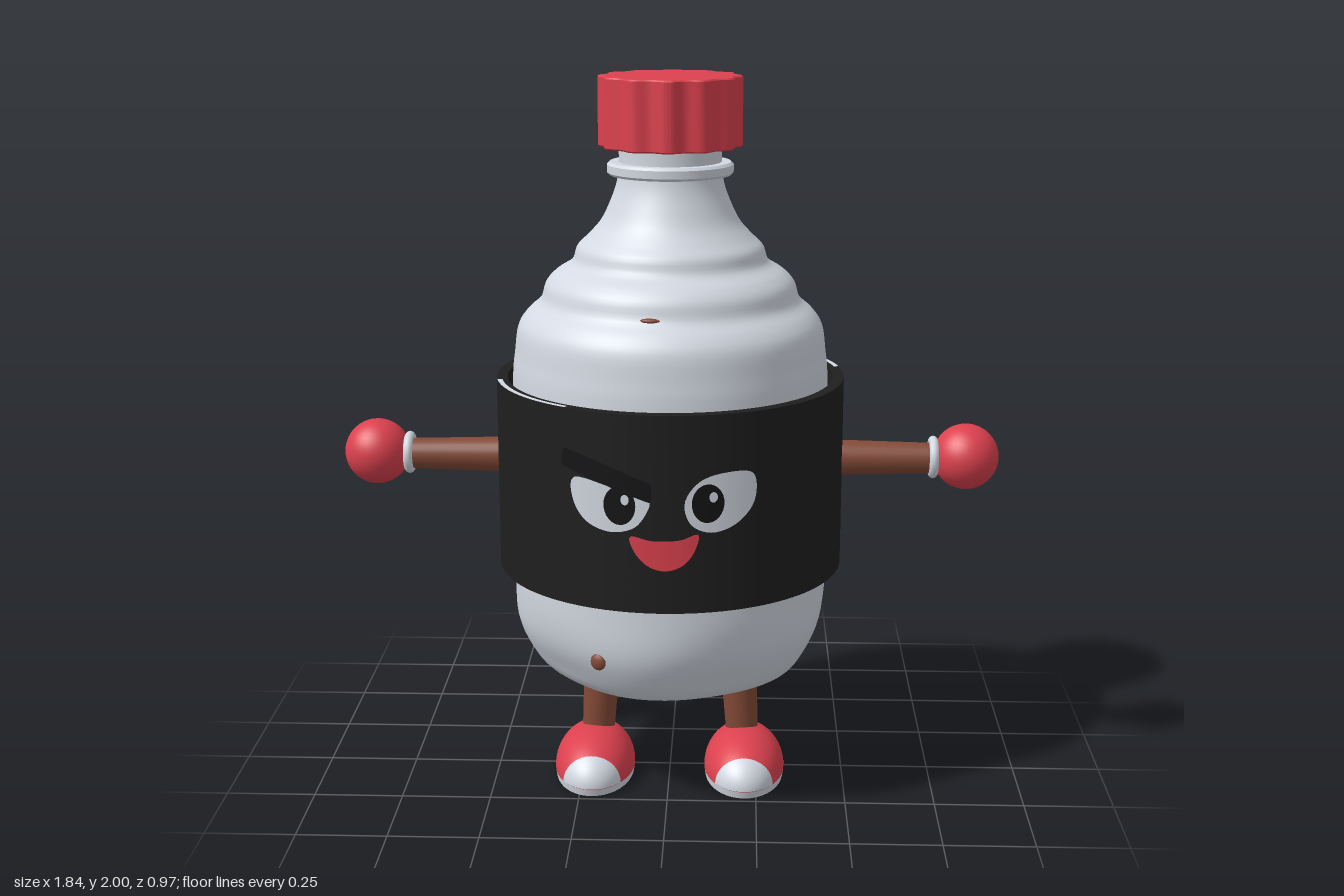
import * as THREE from 'three';
import { toCreasedNormals } from 'three/addons/utils/BufferGeometryUtils.js';

const material = (name, color) => {
  const m = new THREE.MeshStandardMaterial({ color });
  m.name = name;
  return m;
};

export function createModel() {
  const group = new THREE.Group();
  const white = material('pale plastic', 0xd3d9e2);
  const red = material('red', 0xdc414e);
  const brown = material('brown', 0x834a37);
  const black = material('label black', 0x1f1f1f);
  const dark = material('pupil black', 0x141416);

  const add = (name, geometry, mat, parent = group) => {
    const mesh = new THREE.Mesh(geometry, mat);
    mesh.name = name;
    parent.add(mesh);
    return mesh;
  };
  const lathe = (pts, segments = 64) =>
    new THREE.LatheGeometry(pts.map(([r, y]) => new THREE.Vector2(r, y)), segments);
  const creased = (geometry, angle = 0.6) => toCreasedNormals(geometry, angle);

  // Bottle: rippled shoulders, with a gently lobed foot
  const profile = new THREE.SplineCurve([
    [0.2, 0.31], [0.3, 0.328], [0.365, 0.355], [0.41, 0.42], [0.437, 0.5], [0.44, 0.62],
    [0.44, 0.8], [0.44, 1.0], [0.437, 1.18], [0.43, 1.25], [0.42, 1.32], [0.395, 1.36],
    [0.357, 1.395], [0.342, 1.44], [0.315, 1.47], [0.27, 1.5], [0.255, 1.54], [0.225, 1.57],
    [0.19, 1.61], [0.165, 1.66], [0.147, 1.71], [0.14, 1.76], [0.14, 1.83],
  ].map(([r, y]) => new THREE.Vector2(r, y)));
  const bottle = new THREE.LatheGeometry(profile.getPoints(90), 80);
  const p = bottle.attributes.position;
  for (let i = 0; i < p.count; i++) {
    const x = p.getX(i), y = p.getY(i), z = p.getZ(i);
    const fade = Math.max(0, 1 - Math.abs(y - 0.4) / 0.18);
    const k = 1 - 0.045 * fade * (0.5 - 0.5 * Math.cos(5 * Math.atan2(x, z) + 1));
    p.setXYZ(i, x * k, y, z * k);
  }
  add('bottle', creased(bottle, 1), white);
  add('bottleBase', lathe([[0, 0.304], [0.19, 0.304], [0.235, 0.317]], 32), brown);
  add('neckRing', creased(lathe([[0.13, 1.735], [0.165, 1.735], [0.172, 1.742],
    [0.172, 1.763], [0.165, 1.77], [0.13, 1.77]])), white);

  // Scalloped screw cap
  const capShape = new THREE.Shape();
  for (let i = 0; i < 144; i++) {
    const a = (i / 144) * Math.PI * 2;
    const r = 0.188 + 0.008 * Math.cos(12 * a);
    capShape[i ? 'lineTo' : 'moveTo'](r * Math.cos(a), r * Math.sin(a));
  }
  const cap = new THREE.ExtrudeGeometry(capShape, {
    depth: 0.182, bevelEnabled: true, bevelSize: 0.004, bevelThickness: 0.004,
    bevelOffset: -0.004, bevelSegments: 1,
  });
  cap.rotateX(-Math.PI / 2).translate(0, 1.814, 0);
  add('cap', creased(cap, 0.5), red);

  // Label sleeve, with pale edges where it overlaps
  add('label', creased(lathe([[0.452, 0.645], [0.482, 0.645], [0.482, 1.18],
    [0.452, 1.18], [0.452, 0.645]], 96)), black);
  for (const start of [0.2, 0.2 + Math.PI]) {
    for (const [y, turn] of [[1.182, -1], [0.643, 1]]) {
      const edge = new THREE.RingGeometry(0.468, 0.482, 24, 1, turn < 0 ? start : -start - 0.8, 0.8);
      edge.rotateX(turn * Math.PI / 2).translate(0, y, 0);
      add('labelEdge', edge, white);
    }
  }

  // Face details: outlines wrapped round the label as concentric rings
  const decal = (name, outline, r, mat) => {
    const cx = outline.reduce((s, q) => s + q.x, 0) / outline.length;
    const cy = outline.reduce((s, q) => s + q.y, 0) / outline.length;
    const n = outline.length, rings = 6, pos = [], index = [];
    for (let j = 0; j <= rings; j++) {
      for (const q of outline) {
        const x = cx + (q.x - cx) * j / rings, y = cy + (q.y - cy) * j / rings;
        pos.push(x, y, Math.sqrt(r * r - x * x));
      }
    }
    for (let j = 0; j < rings; j++) {
      for (let i = 0; i < n; i++) {
        const a = j * n + i, b = j * n + (i + 1) % n;
        index.push(a, a + n, b + n, a, b + n, b);
      }
    }
    const g = new THREE.BufferGeometry();
    g.setAttribute('position', new THREE.Float32BufferAttribute(pos, 3));
    g.setIndex(index);
    g.computeVertexNormals();
    return add(name, g, mat);
  };
  const smooth = (pts, tension = 0.5) => new THREE.CatmullRomCurve3(
    pts.map(([x, y]) => new THREE.Vector3(x, y, 0)), true, 'catmullrom', tension)
    .getSpacedPoints(48).slice(0, -1);
  const oval = (x, y, rx, ry) =>
    new THREE.EllipseCurve(x, y, rx, ry).getPoints(32).slice(0, -1);

  // Points run anticlockwise
  decal('rightEyeWhite', smooth([[-0.235, 1.0], [-0.24, 0.94], [-0.205, 0.885],
    [-0.14, 0.863], [-0.075, 0.88], [-0.04, 0.93], [-0.045, 0.955], [-0.14, 0.985]]), 0.4845, white);
  decal('leftEyeWhite', smooth([[0.232, 1.015], [0.165, 1.025], [0.095, 1.005],
    [0.055, 0.95], [0.07, 0.89], [0.125, 0.865], [0.19, 0.885], [0.235, 0.94]]), 0.4845, white);
  for (const [side, x, y] of [['right', -0.115, 0.937], ['left', 0.115, 0.945]]) {
    decal(side + 'Pupil', oval(x, y, 0.042, 0.052), 0.487, dark);
    decal(side + 'EyeGlint', oval(x + 0.014, y + 0.017, 0.011, 0.014), 0.489, white);
  }
  decal('mouth', smooth([[0.09, 0.862], [0.04, 0.847], [-0.03, 0.845], [-0.088, 0.855],
    [-0.075, 0.81], [-0.04, 0.775], [0.005, 0.763], [0.05, 0.778], [0.08, 0.815]]), 0.4845, red);
  decal('eyebrow', smooth([[-0.262, 1.078], [-0.268, 1.03], [-0.15, 0.99], [-0.035, 0.95],
    [-0.033, 1.0], [-0.15, 1.045]], 0.1), 0.492, black).material = dark;

  // Small brown flecks on the bottle
  for (const [x, y, z, w, h] of [[-0.18, 0.472, 0.39, 0.023, 0.024],
    [-0.04, 1.4, 0.353, 0.026, 0.006], [-0.33, 1.4, -0.14, 0.02, 0.006]]) {
    const fleck = add('fleck', new THREE.SphereGeometry(1, 12, 8), brown);
    fleck.scale.set(w, h, 0.012);
    fleck.position.set(x, y, z);
    fleck.rotation.y = Math.atan2(x, z);
  }

  for (const s of [1, -1]) {
    const side = s > 0 ? 'left' : 'right';

    // Arm, cuff and round hand
    const arm = add(side + 'Arm', new THREE.CylinderGeometry(0.042, 0.05, 0.33, 24), brown);
    arm.rotation.z = -s * Math.PI / 2;
    arm.position.set(s * 0.6, 0.942, 0);
    const cuff = add(side + 'Cuff', new THREE.TorusGeometry(0.047, 0.013, 10, 28), white);
    cuff.rotation.y = Math.PI / 2;
    cuff.position.set(s * 0.737, 0.945, 0);
    add(side + 'Hand', new THREE.SphereGeometry(0.092, 32, 20), red)
      .position.set(s * 0.828, 0.948, 0);

    // Leg
    const leg = add(side + 'Leg', new THREE.CylinderGeometry(0.053, 0.046, 0.26, 24), brown);
    leg.position.set(s * 0.203, 0.225, 0);
    leg.rotation.z = s * 0.06;

    // Shoe: half dome with a pale toe cap on a flat sole
    const shoe = new THREE.Group();
    shoe.name = side + 'Shoe';
    shoe.position.set(s * 0.216, 0, 0.05);
    group.add(shoe);
    const dome = (name, from, to, grow, mat) => {
      const g = new THREE.SphereGeometry(1, 28, 20, Math.PI, Math.PI, from, to - from);
      g.rotateX(Math.PI / 2).scale(0.115 * grow, 0.11 * grow, 0.19 * grow);
      add(name, g.translate(0, 0.032, 0), mat, shoe);
    };
    dome('shoeUpper', 0.6, Math.PI, 1, red);
    dome('toeCap', 0, 0.76, 1.03, white);
    const band = new THREE.CylinderGeometry(1, 1, 0.012, 40);
    add('shoeBand', band.scale(0.115, 1, 0.19).translate(0, 0.034, 0), red, shoe);
    const sole = new THREE.CylinderGeometry(1, 0.97, 0.022, 40);
    add('sole', sole.scale(0.115, 1, 0.188).translate(0, 0.017, 0), white, shoe);
  }

  // Rest the soles on the ground
  group.children.forEach((c) => { if (c.name.endsWith('Shoe')) c.position.y = -0.003; });
  return group;
}
